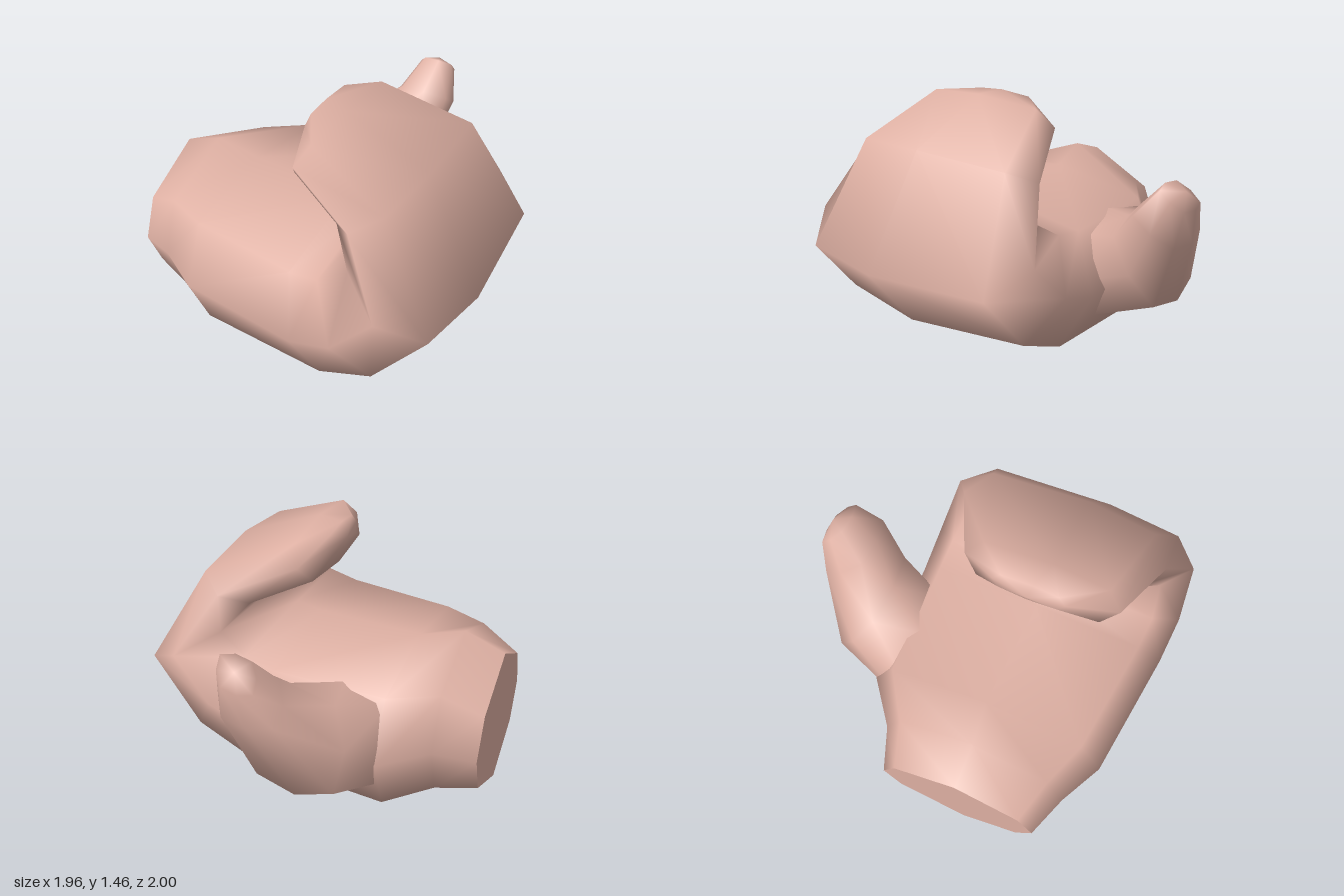
import * as THREE from 'three';

const SIDES = 8;
const CORNER = 0.8; // how far the diagonal corners of a section reach out

// Eight-sided section between an outer and an inner point, widened along one axis
function section(outer, inner, axis, halfWidth, cornerDepth = CORNER) {
  const o = new THREE.Vector3(...outer), i = new THREE.Vector3(...inner);
  const centre = o.clone().add(i).multiplyScalar(0.5);
  const v = i.clone().sub(o).multiplyScalar(0.5);
  const u = axis.clone().multiplyScalar(halfWidth);
  const points = [];
  for (let k = 0; k < SIDES; k++) {
    const a = (k / SIDES) * Math.PI * 2;
    const corner = k % 2 === 1;
    points.push(centre.clone()
      .addScaledVector(v, corner ? Math.sign(Math.cos(a)) * cornerDepth : Math.cos(a))
      .addScaledVector(u, corner ? Math.sign(Math.sin(a)) * CORNER : Math.sin(a)));
  }
  return points;
}

// Smooth skin through the sections, closed at the end with a fan to the tip
function loft(rings, tip) {
  const positions = rings.flat().flatMap((p) => p.toArray()).concat(tip);
  const tipIndex = rings.length * SIDES;
  const index = [];
  for (let r = 0; r < rings.length; r++) {
    for (let k = 0; k < SIDES; k++) {
      const a = r * SIDES + k;
      const b = r * SIDES + (k + 1) % SIDES;
      if (r === rings.length - 1) index.push(a, b, tipIndex);
      else index.push(a, b, a + SIDES, b, b + SIDES, a + SIDES);
    }
  }
  const geometry = new THREE.BufferGeometry();
  geometry.setAttribute('position', new THREE.Float32BufferAttribute(positions, 3));
  geometry.setIndex(index);
  geometry.computeVertexNormals();
  return geometry;
}

// Flat face closing the first section
function endCap(ring) {
  const index = [];
  for (let k = 1; k < SIDES - 1; k++) index.push(0, k + 1, k);
  const geometry = new THREE.BufferGeometry();
  geometry.setAttribute('position',
    new THREE.Float32BufferAttribute(ring.flatMap((p) => p.toArray()), 3));
  geometry.setIndex(index);
  geometry.computeVertexNormals();
  return geometry;
}

export function createModel() {
  const group = new THREE.Group();
  group.name = 'mittenHand';
  const skin = new THREE.MeshStandardMaterial({ color: 0xdeb0a3 });
  skin.name = 'skin';

  const add = (name, geometry) => {
    const mesh = new THREE.Mesh(geometry, skin);
    mesh.name = name;
    group.add(mesh);
  };

  // Palm and curled fingers:
  // outer x, y, inner x, y, centre z, half width, z of the outer ridge, corner depth
  const palm = [
    [-0.98, 0.0, -0.98, 0.855, 0.205, 0.455, 0.24, 0.55],
    [-0.75, 0.0, -0.75, 0.945, 0.21, 0.54, 0.27, 0.64],
    [-0.5, 0.01, -0.5, 0.885, 0.18, 0.7, 0.32, 0.78],
    [0.33, 0.1, 0.12, 0.885, 0.225, 0.755, 0.35, 0.8],
    [0.67, 0.27, 0.28, 0.91, 0.235, 0.76, 0.37, 0.8],
    [0.98, 0.67, 0.42, 0.985, 0.235, 0.725, 0.37, 0.8],
    [0.64, 1.27, 0.31, 1.09, 0.225, 0.585, 0.3, 0.8],
    [0.15, 1.46, 0.02, 1.21, 0.245, 0.43, 0.28, 0.8],
    [0.0, 1.46, -0.03, 1.33, 0.21, 0.2, 0.23, 0.8],
  ].map(([ox, oy, ix, iy, z, w, ridgeZ, depth]) => {
    const ring = section([ox, oy, z], [ix, iy, z], new THREE.Vector3(0, 0, 1), w, depth);
    ring[SIDES / 2].z = ridgeZ;
    return ring;
  });
  add('palmAndFingers', loft(palm, [-0.04, 1.38, 0.21]));
  add('wristEnd', endCap(palm[0]));

  // Thumb, rooted inside the palm: lower x, y, z, upper x, y, z, half width
  const thumb = [
    [-0.25, 0.14, -0.3, -0.25, 0.8, -0.32, 0.33],
    [-0.18, 0.39, -0.83, -0.08, 0.87, -0.56, 0.27],
    [0.0, 0.84, -0.98, 0.08, 1.03, -0.72, 0.18],
    [0.03, 1.04, -1.0, 0.1, 1.18, -0.86, 0.11],
  ].map(([lx, ly, lz, ux, uy, uz, w]) =>
    section([lx, ly, lz], [ux, uy, uz], new THREE.Vector3(1, 0, 0), w));
  add('thumb', loft(thumb, [0.06, 1.14, -0.96]));

  return group;
}
